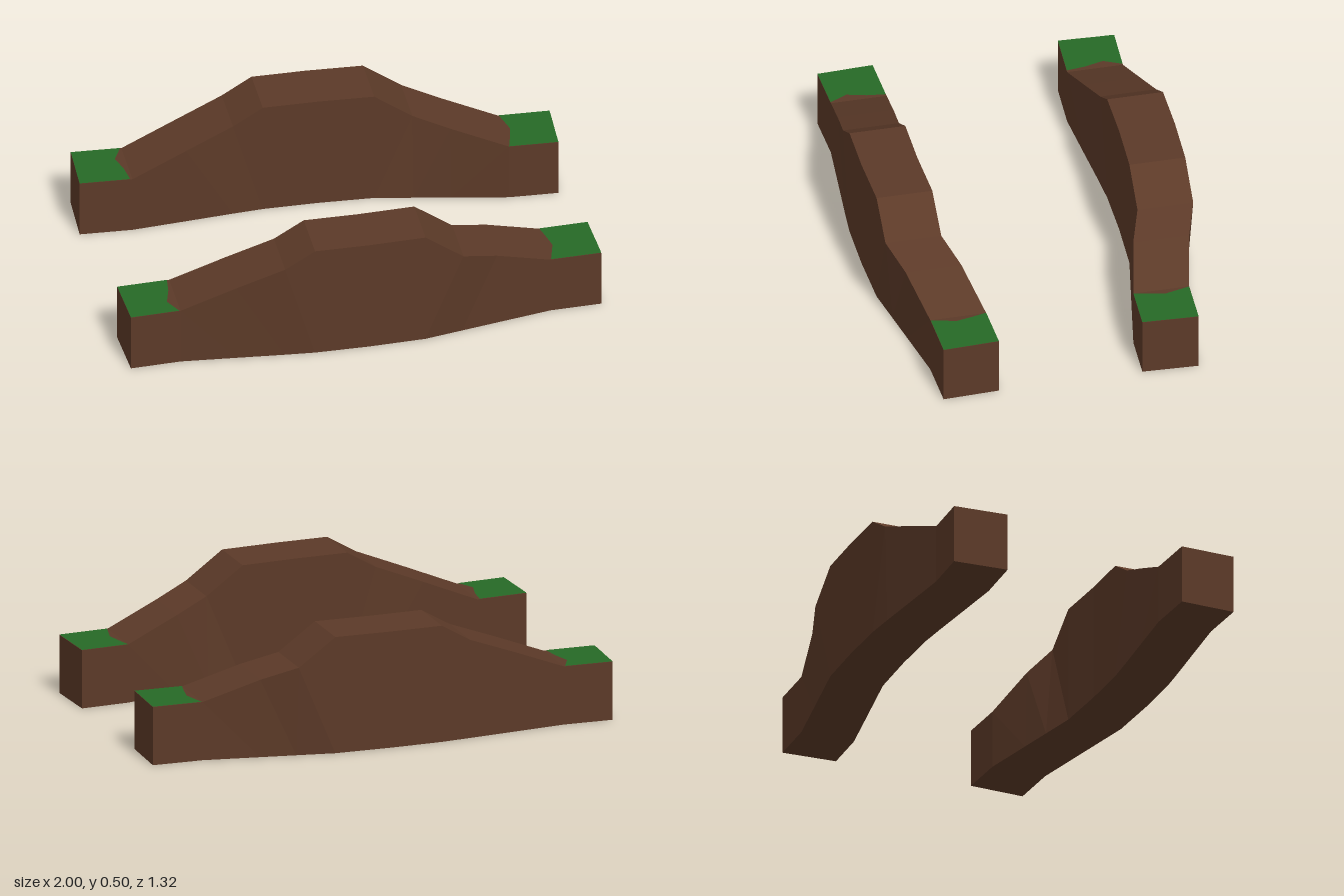
import * as THREE from 'three';

const earth = new THREE.MeshStandardMaterial({ color: 0x5c3a28 });
earth.name = 'earth brown';
const grass = new THREE.MeshStandardMaterial({ color: 0x266a26 });
grass.name = 'grass green';

const WIDTH = 0.235;
// Cross-sections along the bank: x, height, inner z at the top, inner z at the base
const stations = [
  [-0.995, 0.25, 0.39, 0.39], [-0.78, 0.25, 0.38, 0.38],
  [-0.55, 0.345, 0.402, 0.399], [-0.35, 0.425, 0.424, 0.416],
  [-0.225, 0.5, 0.425, 0.425], [0, 0.5, 0.425, 0.425],
  [0.24, 0.5, 0.415, 0.415], [0.4, 0.385, 0.413, 0.384],
  [0.55, 0.335, 0.362, 0.355], [0.785, 0.25, 0.31, 0.31],
  [0.995, 0.25, 0.302, 0.302],
];

// Triangles from quads; side = -1 mirrors the shape in z and turns the faces round
function geometryFromPolygons(polygons, side) {
  const positions = [];
  for (const poly of polygons) {
    const p = side > 0 ? poly : [poly[0], ...poly.slice(1).reverse()];
    for (let i = 1; i < p.length - 1; i++) {
      for (const [x, y, z] of [p[0], p[i], p[i + 1]]) positions.push(x, y, z * side);
    }
  }
  const geometry = new THREE.BufferGeometry();
  geometry.setAttribute('position', new THREE.Float32BufferAttribute(positions, 3));
  geometry.computeVertexNormals();
  return geometry;
}

// Solid ridge with square ends
function bankPolygons() {
  const rings = stations.map(([x, y, top, base], i) => {
    const skew = i === 0 || i === stations.length - 1 ? 0.005 : 0;
    return [
      [x - skew, y, top], [x + skew, y, top + WIDTH],
      [x + skew, 0, base + WIDTH], [x - skew, 0, base],
    ];
  });
  const polygons = [[...rings[0]].reverse(), rings[rings.length - 1]];
  for (let i = 0; i < rings.length - 1; i++) {
    const a = rings[i], b = rings[i + 1];
    for (let k = 0; k < 4; k++) {
      const n = (k + 1) % 4;
      // Creases on the walls run from the base outwards to the top
      const turned = (stations[i][0] < 0) !== (k === 3);
      polygons.push(turned ? [b[n], b[k], a[k], a[n]] : [a[n], b[n], b[k], a[k]]);
    }
  }
  return polygons;
}

// Grass edges as [x, z], from the inner to the outer side: end line and uneven line
const grassEnds = {
  grassRight: {
    end: [[-1, 0.39], [-0.997, 0.468], [-0.993, 0.547], [-0.99, 0.625]],
    rim: [[-0.79, 0.381], [-0.8, 0.46], [-0.822, 0.54], [-0.785, 0.615]],
  },
  grassLeft: {
    end: [[0.785, 0.31], [0.8, 0.37], [0.815, 0.44], [0.788, 0.544]],
    rim: [[0.99, 0.302], [0.993, 0.38], [0.997, 0.459], [1, 0.537]],
  },
};

// Thin strip of grass lying on the flat end
function grassPolygons({ end, rim }) {
  const at = ([x, z]) => [x, 0.2515, z];
  return [0, 1, 2].map((i) => [at(end[i + 1]), at(rim[i + 1]), at(rim[i]), at(end[i])]);
}

export function createModel() {
  const model = new THREE.Group();
  model.name = 'pairOfEarthBanks';
  for (const side of [1, -1]) {
    const group = new THREE.Group();
    group.name = side > 0 ? 'frontBank' : 'backBank';
    const bank = new THREE.Mesh(geometryFromPolygons(bankPolygons(), side), earth);
    bank.name = 'earthRidge';
    group.add(bank);
    for (const [name, edges] of Object.entries(grassEnds)) {
      const patch = new THREE.Mesh(geometryFromPolygons(grassPolygons(edges), side), grass);
      patch.name = name;
      group.add(patch);
    }
    model.add(group);
  }
  return model;
}
